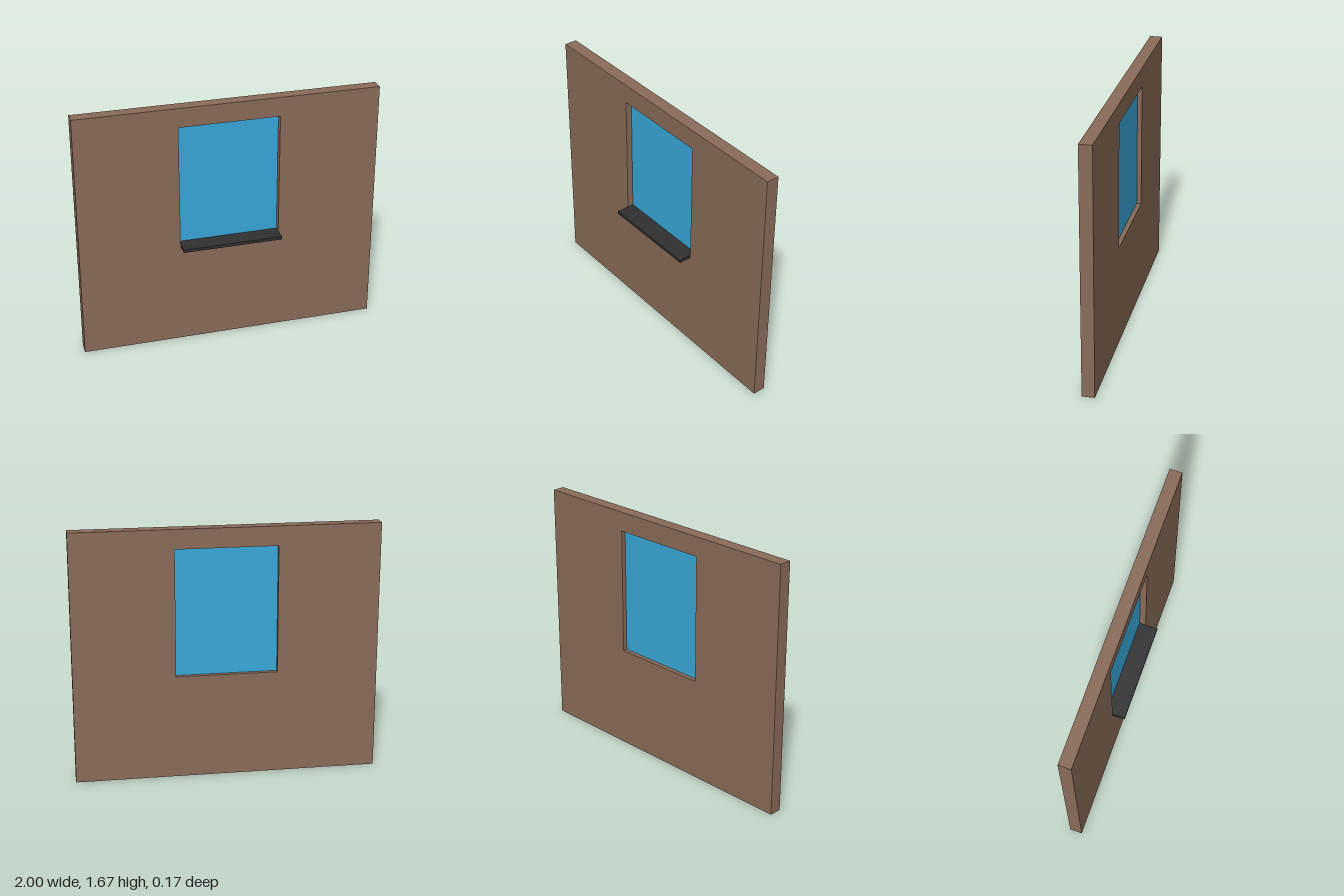
import * as THREE from 'three';

const WALL = { width: 2, height: 1.667, depth: 0.083 };
const OPENING = { x: 0.333, bottom: 0.695, top: 1.538 };
const GLASS = { front: -0.042, back: -0.053 };
const SILL = { top: 0.716, front: 0.083 };

// Box given by its minimum and maximum corners
function boxBetween(name, material, min, max) {
  const size = max.map((v, i) => v - min[i]);
  const mesh = new THREE.Mesh(new THREE.BoxGeometry(...size), material);
  mesh.position.set(...min.map((v, i) => (v + max[i]) / 2));
  mesh.name = name;
  return mesh;
}

export function createModel() {
  const brown = new THREE.MeshStandardMaterial({ name: 'wall brown', color: 0x8a6b58 });
  const blue = new THREE.MeshStandardMaterial({ name: 'glass blue', color: 0x38a8da });
  const charcoal = new THREE.MeshStandardMaterial({ name: 'sill charcoal', color: 0x303030 });

  const model = new THREE.Group();
  model.name = 'wallWithWindow';

  // Wall slab with a rectangular opening, front face on z = 0
  const w = WALL.width / 2;
  const outline = new THREE.Shape()
    .moveTo(-w, 0).lineTo(w, 0).lineTo(w, WALL.height).lineTo(-w, WALL.height).closePath();
  const { x, bottom, top } = OPENING;
  outline.holes.push(new THREE.Path()
    .moveTo(-x, bottom).lineTo(-x, top).lineTo(x, top).lineTo(x, bottom).closePath());
  const wall = new THREE.Mesh(
    new THREE.ExtrudeGeometry(outline, { depth: WALL.depth, bevelEnabled: false }), brown);
  wall.position.z = -WALL.depth;
  wall.name = 'wall';

  // Glass pane set midway into the opening
  const pane = boxBetween('windowPane', blue, [-x, bottom, GLASS.back], [x, top, GLASS.front]);

  // Sill running from the glass out past the wall
  const sill = boxBetween('windowSill', charcoal,
    [-x, bottom, GLASS.front], [x, SILL.top, SILL.front]);

  model.add(wall, pane, sill);
  return model;
}
